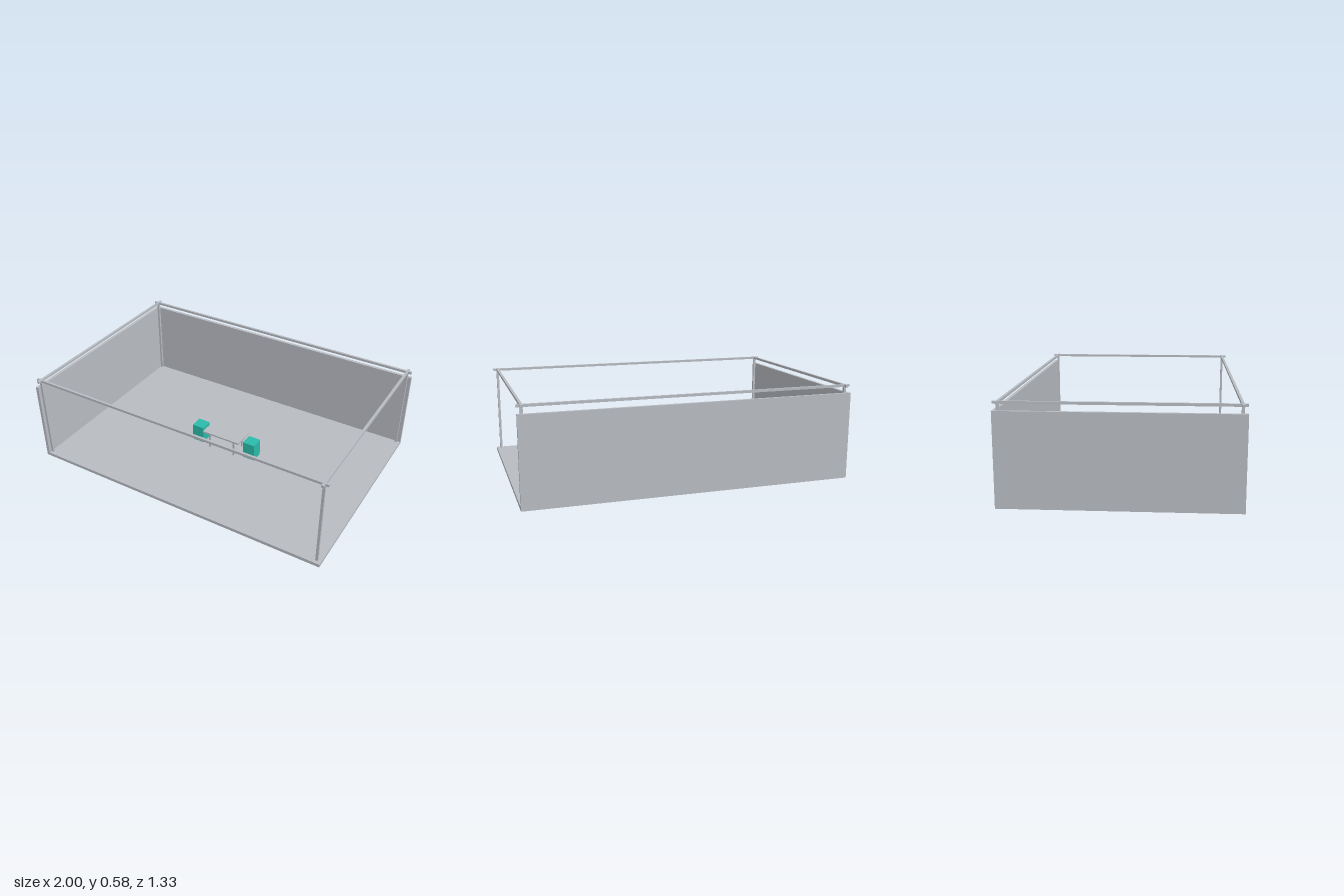
import * as THREE from 'three';

export function createModel() {
  const grey = new THREE.MeshStandardMaterial({ name: 'light grey', color: 0xb8bcc2 });
  const teal = new THREE.MeshStandardMaterial({ name: 'teal', color: 0x2bbbaa });

  const room = new THREE.Group();
  room.name = 'boothRoom';

  // Box given by its size, centre x and z, and the height of its underside
  const box = (name, mat, w, h, d, x, y, z, parent = room) => {
    const mesh = new THREE.Mesh(new THREE.BoxGeometry(w, h, d), mat);
    mesh.name = name;
    mesh.position.set(x, y + h / 2, z);
    parent.add(mesh);
    return mesh;
  };

  const floorH = 0.021, halfD = 0.667, wallT = 0.02, wallH = 0.535 - floorH;

  // Floor slab and the two walls
  box('floor', grey, 2, floorH, halfD * 2, 0, 0, 0);
  box('backWall', grey, 2, wallH, wallT, 0, floorH, -halfD + wallT / 2);
  box('sideWall', grey, wallT, wallH, halfD * 2 - wallT, -1 + wallT / 2, floorH, wallT / 2);

  // Open frame: four posts and four crossing top beams
  const frame = new THREE.Group();
  frame.name = 'frame';
  room.add(frame);
  const bar = 0.015, postX = 0.972, postZ = 0.639, beamY = 0.57;
  for (const s of [-1, 1]) {
    box('longBeam', grey, 2, bar, bar, 0, beamY, s * postZ, frame);
    box('shortBeam', grey, bar, bar, halfD * 2, s * postX, beamY, 0, frame);
    for (const t of [-1, 1]) {
      box('post', grey, bar, beamY - floorH, bar, s * postX, floorH, t * postZ, frame);
    }
  }

  // Table with four legs
  const table = new THREE.Group();
  table.name = 'table';
  room.add(table);
  box('tableTop', grey, 0.272, 0.011, 0.145, 0, 0.129, 0, table);
  for (const x of [-0.092, 0.092]) {
    for (const z of [-0.056, 0.056]) {
      box('tableLeg', grey, 0.011, 0.129 - floorH, 0.011, x, floorH, z, table);
    }
  }

  // Block stools at each end of the table
  for (const s of [-1, 1]) box('stool', teal, 0.083, 0.117, 0.083, s * 0.196, floorH, 0);

  return room;
}
